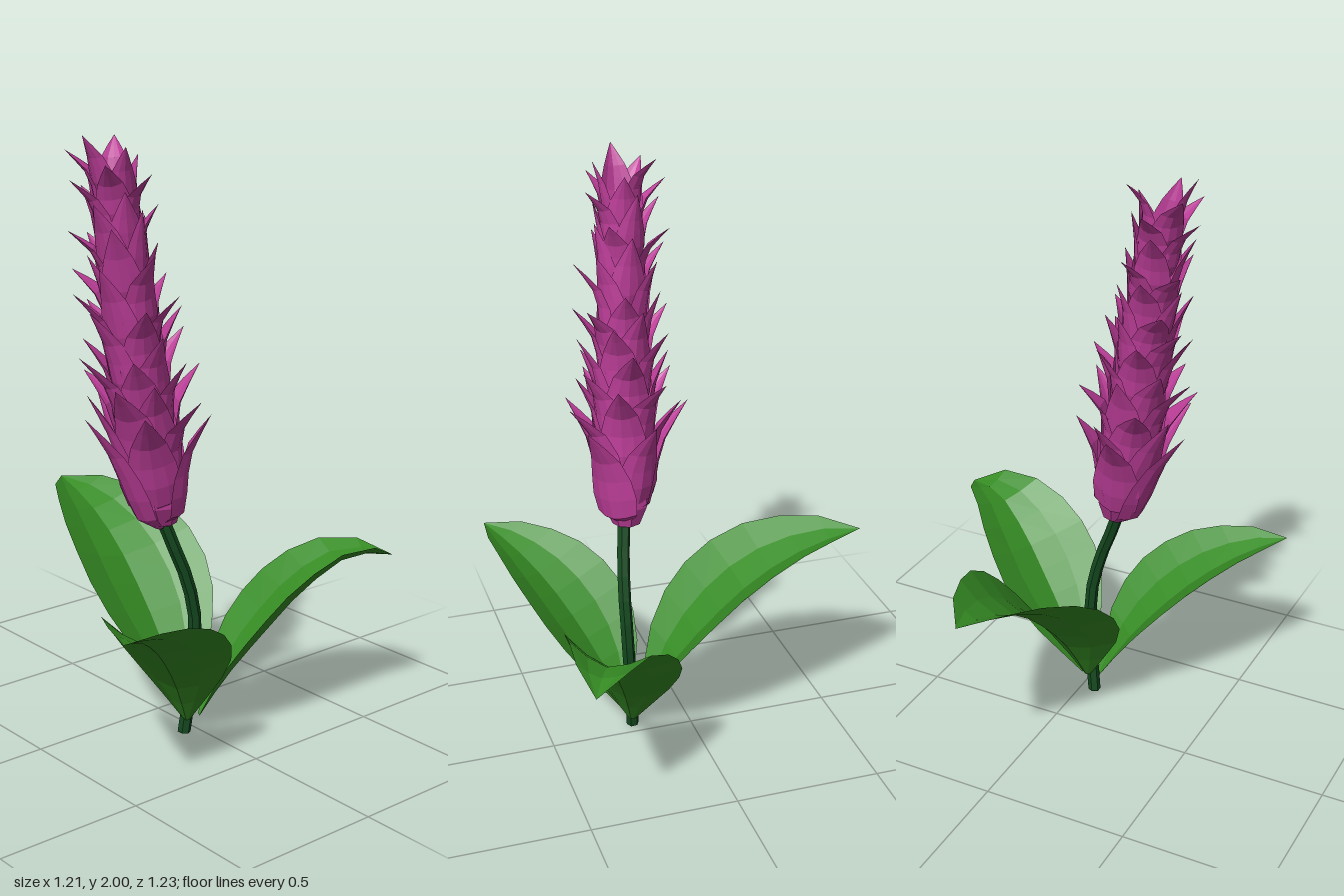
import * as THREE from 'three';

const material = (color) => new THREE.MeshStandardMaterial({ color, flatShading: true, side: THREE.DoubleSide });
const stemMaterial = material(0x14491f);
const leafMaterial = material(0x368c24);
const bractMaterial = material(0xbe3e9a);
const V = (x, y, z) => new THREE.Vector3(x, y, z);

// Small seeded generator for natural variation, from -1 to 1
let seed = 7;
function vary() {
  seed = (seed * 16807) % 2147483647;
  return (seed / 2147483647) * 2 - 1;
}

// Value at t of an evenly spaced list
function sample(list, t) {
  const f = t * (list.length - 1);
  const i = Math.min(Math.floor(f), list.length - 2);
  return THREE.MathUtils.lerp(list[i], list[i + 1], f - i);
}

// Pointed blade swept along a midrib; its edges lift towards "ref"
function blade(points, ref, halfWidth, profile, lift, power, rows) {
  const curve = new THREE.CatmullRomCurve3(points);
  const cols = 4, positions = [], index = [];
  for (let i = 0; i <= rows; i++) {
    const t = i / rows;
    const p = curve.getPointAt(t);
    const tangent = curve.getTangentAt(t);
    const side = tangent.clone().cross(ref).normalize();
    const normal = side.clone().cross(tangent);
    const w = halfWidth * sample(profile, t);
    for (let j = 0; j <= cols; j++) {
      const u = (j / cols) * 2 - 1;
      const q = p.clone().addScaledVector(side, u * w)
        .addScaledVector(normal, Math.pow(Math.abs(u), power) * lift * w);
      positions.push(q.x, q.y, q.z);
      if (i < rows && j < cols) {
        const a = i * (cols + 1) + j, b = a + cols + 1;
        index.push(a, a + 1, b, a + 1, b + 1, b);
      }
    }
  }
  const geometry = new THREE.BufferGeometry();
  geometry.setAttribute('position', new THREE.Float32BufferAttribute(positions, 3));
  geometry.setIndex(index);
  geometry.computeVertexNormals();
  return geometry;
}

// Centre line of the leaning flower spike
function axis(y) {
  const t = Math.max(0, (y - 0.74) / 1.26);
  return V(0.185 - 0.05 * t, y, 0.135 + 0.175 * Math.pow(t, 0.85));
}

function createStem() {
  const group = new THREE.Group();
  group.name = 'stem';
  const path = new THREE.CatmullRomCurve3([
    V(0.2, 0, 0.052), V(0.212, 0.2, 0.03), V(0.222, 0.4, 0.026),
    V(0.22, 0.55, 0.06), V(0.2, 0.72, 0.125), axis(0.82),
  ]);
  const stalk = new THREE.Mesh(new THREE.TubeGeometry(path, 10, 0.022, 6), stemMaterial);
  stalk.name = 'stalk';
  const cap = new THREE.Mesh(new THREE.CircleGeometry(0.022, 6), stemMaterial);
  cap.name = 'stalkBase';
  cap.rotation.x = Math.PI / 2;
  cap.position.set(0.2, 0.001, 0.052);
  group.add(stalk, cap);
  return group;
}

// Broad leaf arching from base to tip; heights are fractions of the rise, up sets its roll
function createLeaf(name, base, tip, halfWidth, heights, up) {
  const reach = [0, 0.156, 0.35, 0.545, 0.77, 1];
  const points = reach.map((f, i) => {
    const p = base.clone().lerp(tip, f);
    p.y = THREE.MathUtils.lerp(base.y, tip.y, heights[i]);
    return p;
  });
  const profile = [0.06, 0.38, 0.7, 0.91, 1, 0.98, 0.88, 0.68, 0.42, 0];
  const mesh = new THREE.Mesh(
    blade(points, up, halfWidth, profile, 0.45, 1.5, 9), leafMaterial);
  mesh.name = name;
  return mesh;
}

function createFlower() {
  const group = new THREE.Group();
  group.name = 'flowerSpike';

  // Solid heart, bent along the axis
  const outline = [[0.001, 0.735], [0.05, 0.755], [0.08, 0.82], [0.08, 1.1], [0.06, 1.5], [0.04, 1.8], [0.001, 1.87]];
  const heart = new THREE.LatheGeometry(outline.map(([r, y]) => new THREE.Vector2(r, y)), 8);
  const pos = heart.attributes.position;
  for (let i = 0; i < pos.count; i++) {
    const c = axis(pos.getY(i));
    pos.setX(i, pos.getX(i) + c.x);
    pos.setZ(i, pos.getZ(i) + c.z);
  }
  const core = new THREE.Mesh(heart, bractMaterial);
  core.name = 'spikeCore';
  group.add(core);

  // Overlapping bracts in a spiral, shrinking upwards; the lowest splay widest
  const count = 56;
  const profile = [0.4, 0.9, 1, 0.9, 0.66, 0.34, 0];
  for (let i = 0; i < count; i++) {
    const s = i / (count - 1);
    const angle = i * 2.39996 + vary() * 0.2;
    const out = V(Math.sin(angle), 0, Math.cos(angle));
    const y = 0.733 + s * 1.06;
    const length = (0.36 - 0.155 * s) * (1 + (s < 0.85 ? vary() * 0.12 : 0));
    const r = 0.098 - 0.04 * s;
    const splay = Math.max(0, 1 - s / 0.2);
    const flare = 0.07 - 0.035 * s + splay * 0.025 + vary() * 0.03;
    const points = [
      [0.02, 0], [r * 0.76, 0.08], [r * 1.06, 0.3],
      [r * 1.23 + splay * 0.014, 0.62], [r * 1.25 + flare, 1],
    ].map(([d, h]) => axis(y + h * length).addScaledVector(out, d));
    const bract = new THREE.Mesh(
      blade(points, out.clone().negate(), 0.088 - 0.032 * s, profile, 0.42, 1.8, 6), bractMaterial);
    bract.name = 'bract';
    group.add(bract);
  }
  return group;
}

export function createModel() {
  const model = new THREE.Group();
  model.name = 'floweringPlant';
  seed = 7;
  const arch = [0, 0.29, 0.56, 0.77, 0.92, 1];
  const low = [0, 0.28, 0.54, 0.74, 0.9, 1];
  const droop = [0, 0.29, 0.58, 0.84, 1.02, 1];
  model.add(
    createStem(),
    createLeaf('rightLeaf', V(0.175, 0.07, 0.03), V(-0.605, 0.69, -0.04), 0.235, arch, V(0, 1, 0)),
    createLeaf('frontLeaf', V(0.22, 0.05, 0.06), V(0.59, 0.585, 0.615), 0.2, low, V(0, 1, 0)),
    createLeaf('backLeaf', V(0.22, 0.05, 0), V(0.5, 0.56, -0.615), 0.195, droop, V(-0.12, 1, 0)),
    createFlower(),
  );
  return model;
}
